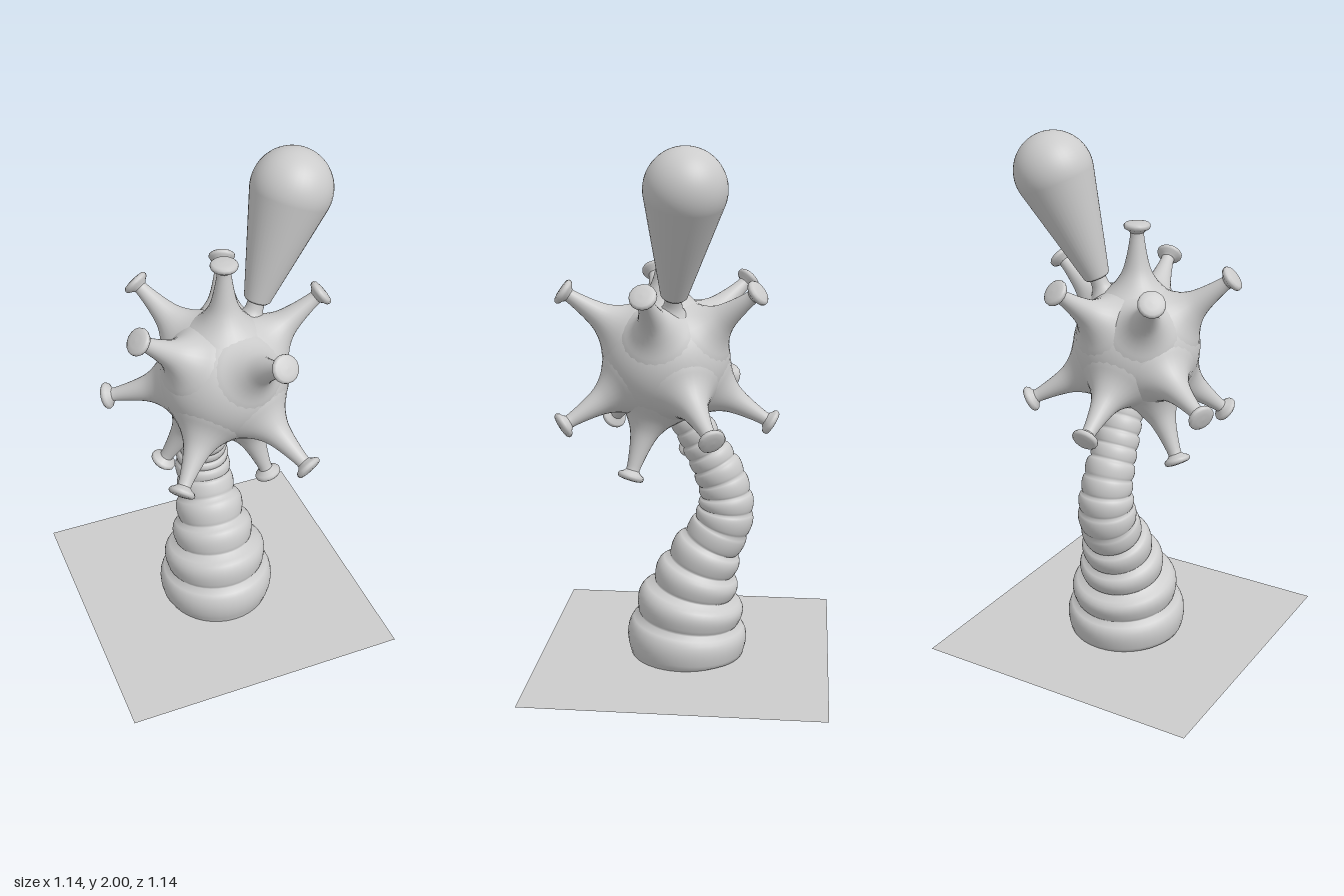
import * as THREE from 'three';

const V = (x, y, z) => new THREE.Vector3(x, y, z);
const UP = V(0, 1, 0);
const material = new THREE.MeshStandardMaterial({ color: 0xcccccc, side: THREE.DoubleSide });

function add(parent, name, geometry) {
  const mesh = new THREE.Mesh(geometry, material);
  mesh.name = name;
  parent.add(mesh);
  return mesh;
}

const lathe = (points, segments) =>
  new THREE.LatheGeometry(points.map(([r, y]) => new THREE.Vector2(r, y)), segments);

// Stretch a smooth line through a few profile points
function smooth(points, count) {
  const curve = new THREE.SplineCurve(points.map(([r, y]) => new THREE.Vector2(r, y)));
  return curve.getPoints(count).map((p) => [p.x, p.y]);
}

// Bent stalk of bulging rings, tapering towards the head
function stalkGeometry() {
  const centres = [
    [0, 0], [0.14, -0.01], [0.26, -0.03], [0.36, -0.06], [0.455, -0.1],
    [0.53, -0.14], [0.6, -0.157], [0.66, -0.155], [0.72, -0.14], [0.78, -0.112],
    [0.83, -0.085], [0.88, -0.058], [0.93, -0.03], [0.98, 0], [1.05, 0.03],
  ];
  const radii = [0.238, 0.212, 0.168, 0.14, 0.118, 0.114, 0.108, 0.1, 0.097, 0.09, 0.086, 0.08, 0.077, 0.072];
  const curve = new THREE.CatmullRomCurve3(centres.map(([y, z]) => V(0, y, z)));
  const rings = radii.length, steps = 10, sides = 40;
  const pinch = (i) => 0.92 * Math.min(radii[Math.max(i - 1, 0)], radii[Math.min(i, rings - 1)]);
  const position = [], index = [];
  for (let j = 0; j <= rings * steps; j++) {
    const ring = Math.min(Math.floor(j / steps), rings - 1);
    const u = j / steps - ring;
    const t = j / (rings * steps);
    const c = curve.getPoint(t);
    const d = j === 0 ? UP : curve.getTangent(t);
    const base = THREE.MathUtils.lerp(pinch(ring), pinch(ring + 1), u);
    const bulge = Math.sqrt(Math.max(0, Math.sin(Math.PI * u)));
    const r = THREE.MathUtils.lerp(base, radii[ring], bulge);
    for (let k = 0; k < sides; k++) {
      const a = (k / sides) * Math.PI * 2;
      const s = Math.sin(a) * r;
      position.push(Math.cos(a) * r, Math.max(0, c.y - d.z * s), c.z + d.y * s);
      if (j === rings * steps) continue;
      const p = j * sides + k, q = j * sides + ((k + 1) % sides);
      index.push(p, p + sides, q, q, p + sides, q + sides);
    }
  }
  const geometry = new THREE.BufferGeometry();
  geometry.setAttribute('position', new THREE.Float32BufferAttribute(position, 3));
  geometry.setIndex(index);
  geometry.computeVertexNormals();
  return geometry;
}

export function createModel() {
  const model = new THREE.Group();
  model.name = 'spikyPlant';

  // Ground sheet
  add(model, 'groundSheet', new THREE.PlaneGeometry(1.14, 1.14).rotateX(-Math.PI / 2));

  add(model, 'stalk', stalkGeometry());

  // Round head
  const head = new THREE.Group();
  head.name = 'head';
  head.position.set(0, 1.19, 0.075);
  model.add(head);
  add(head, 'headBall', new THREE.SphereGeometry(0.245, 48, 32));

  // Spikes flare out of the head and end in a flat knob
  const flare = smooth([
    [0.155, 0.183], [0.128, 0.21], [0.1, 0.234], [0.075, 0.263],
    [0.053, 0.303], [0.038, 0.36], [0.027, 0.425], [0.026, 0.447],
  ], 20);
  const spike = lathe(flare, 24);
  const knob = lathe([
    [0.024, 0.442], [0.034, 0.452], [0.047, 0.459], [0.051, 0.467],
    [0.05, 0.475], [0.043, 0.481], [0.025, 0.484], [0, 0.485],
  ], 16);
  const tips = [
    [0, 0.485, 0],
    [-0.36, 0.3, 0.09], [-0.24, 0.29, -0.31], [0.07, 0.27, 0.39], [0.37, 0.297, 0.04], [0.14, 0.29, -0.365],
    [-0.41, -0.15, -0.225], [-0.272, -0.305, 0.255], [0.19, -0.23, 0.38], [0.37, -0.23, -0.21], [-0.015, -0.25, -0.415],
    [0.14, -0.44, 0.125], [-0.23, -0.42, -0.075],
  ];
  for (const tip of tips) {
    const group = new THREE.Group();
    group.name = 'spike';
    group.quaternion.setFromUnitVectors(UP, V(...tip).normalize());
    add(group, 'spikeShaft', spike);
    add(group, 'spikeKnob', knob);
    head.add(group);
  }

  // Club standing on a thin neck
  const foot = V(0.147, 1.45, 0.03), top = V(0.298, 1.85, -0.028);
  const axis = top.clone().sub(foot);
  const length = axis.length(), R = 0.15, lean = 0.23;
  const profile = [[0, 0], [0.042, 0], [0.05, 0.008]];
  for (let i = 0; i <= 20; i++) {
    const a = -lean + (i / 20) * (Math.PI / 2 + lean);
    profile.push([Math.max(0, R * Math.cos(a)), length + R * Math.sin(a)]);
  }
  const club = new THREE.Group();
  club.name = 'club';
  club.position.copy(foot);
  club.quaternion.setFromUnitVectors(UP, axis.normalize());
  add(club, 'clubBulb', lathe(profile, 40));
  add(club, 'clubNeck', lathe(smooth([[0.085, -0.1], [0.05, -0.06], [0.034, -0.03], [0.032, 0.01]], 10), 24));
  model.add(club);

  return model;
}
